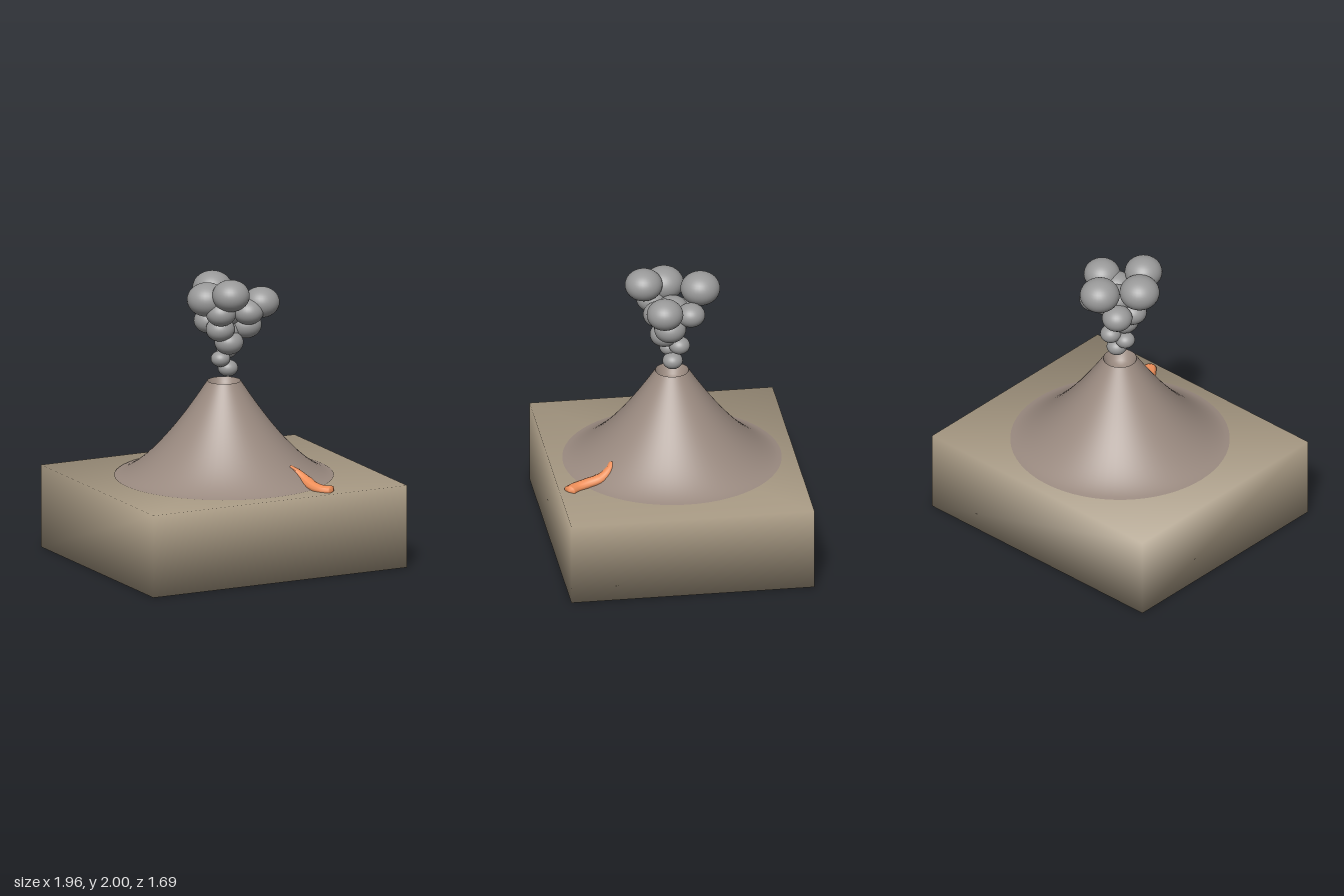
import * as THREE from 'three';
import { mergeVertices } from 'three/addons/utils/BufferGeometryUtils.js';

const GROUND = 0.58;

function part(name, geometry, color, side = THREE.FrontSide) {
  const mesh = new THREE.Mesh(geometry, new THREE.MeshStandardMaterial({ color, side }));
  mesh.name = name;
  return mesh;
}

// Block of land with normals shared across its corners
function landGeometry() {
  const box = new THREE.BoxGeometry(1.96, GROUND, 1.69);
  box.deleteAttribute('normal');
  box.deleteAttribute('uv');
  const geometry = mergeVertices(box);
  geometry.computeVertexNormals();
  return geometry.translate(0, GROUND / 2, 0);
}

// Concave flank, from the foot up to the rim
function flankGeometry() {
  const points = [];
  for (let i = 0; i <= 24; i++) {
    const t = i / 24;
    points.push(new THREE.Vector2(0.755 - 0.64 * t, GROUND + 0.003 + 0.667 * t ** 1.5));
  }
  return new THREE.LatheGeometry(points, 64);
}

// Bowl inside the rim
function craterGeometry() {
  const points = [[0.115, 1.25], [0.1, 1.215], [0.075, 1.18], [0.04, 1.16], [0, 1.155]];
  return new THREE.LatheGeometry(points.map(([r, y]) => new THREE.Vector2(r, y)), 64);
}

// Tapered tube running down the flank and onto the land
function lavaGeometry() {
  const curve = new THREE.CatmullRomCurve3([
    [0.265, 0.71, 0.455], [0.31, 0.675, 0.48], [0.345, 0.625, 0.545], [0.357, 0.598, 0.64],
    [0.385, 0.587, 0.72], [0.44, 0.587, 0.785],
  ].map((p) => new THREE.Vector3(...p)));
  const rings = 40, sides = 12;
  const tube = new THREE.TubeGeometry(curve, rings, 1, sides);
  const pos = tube.attributes.position;
  const v = new THREE.Vector3();
  for (let i = 0; i <= rings; i++) {
    const t = i / rings;
    const centre = curve.getPointAt(t);
    const radius = i === 0 || i === rings ? 0 : 0.018 + 0.028 * Math.min(1, t / 0.4);
    for (let j = 0; j <= sides; j++) {
      const k = i * (sides + 1) + j;
      v.fromBufferAttribute(pos, k).sub(centre).multiplyScalar(radius);
      v.y *= 0.75;
      v.add(centre);
      pos.setXYZ(k, v.x, v.y, v.z);
    }
  }
  tube.computeVertexNormals();
  return tube;
}

// Smoke puffs: x, y, z, radius
const PUFFS = [
  [0.03, 1.335, 0, 0.07], [-0.035, 1.41, 0.015, 0.067],
  [0.045, 1.455, -0.045, 0.073], [0.01, 1.53, 0.055, 0.1],
  [0.02, 1.6, 0, 0.1], [0.15, 1.635, 0.035, 0.11],
  [-0.065, 1.66, -0.1, 0.105], [-0.06, 1.63, 0.06, 0.1],
  [0.145, 1.73, -0.11, 0.098], [0.13, 1.745, 0.115, 0.105],
  [-0.09, 1.76, 0.13, 0.105], [0.03, 1.73, 0, 0.11],
  [0.245, 1.795, 0.085, 0.126], [-0.15, 1.845, 0.035, 0.138],
  [0.01, 1.865, -0.195, 0.137], [-0.045, 1.892, 0.19, 0.13],
];

export function createModel() {
  const model = new THREE.Group();
  model.name = 'volcano';
  model.add(part('land', landGeometry(), 0xa89a84));
  model.add(part('flank', flankGeometry(), 0x9a8a80, THREE.DoubleSide));
  model.add(part('crater', craterGeometry(), 0x9a8a80, THREE.DoubleSide));
  model.add(part('lavaFlow', lavaGeometry(), 0xf0905a));

  // Slightly flattened puffs widening upward
  const smoke = new THREE.Group();
  smoke.name = 'smoke';
  const ball = new THREE.SphereGeometry(1, 32, 20);
  PUFFS.forEach(([x, y, z, r], i) => {
    const puff = part(`puff${i + 1}`, ball, 0x999999);
    puff.position.set(x, y, z);
    puff.scale.set(r, r * 0.87 - 0.003, r);
    smoke.add(puff);
  });
  model.add(smoke);
  return model;
}
